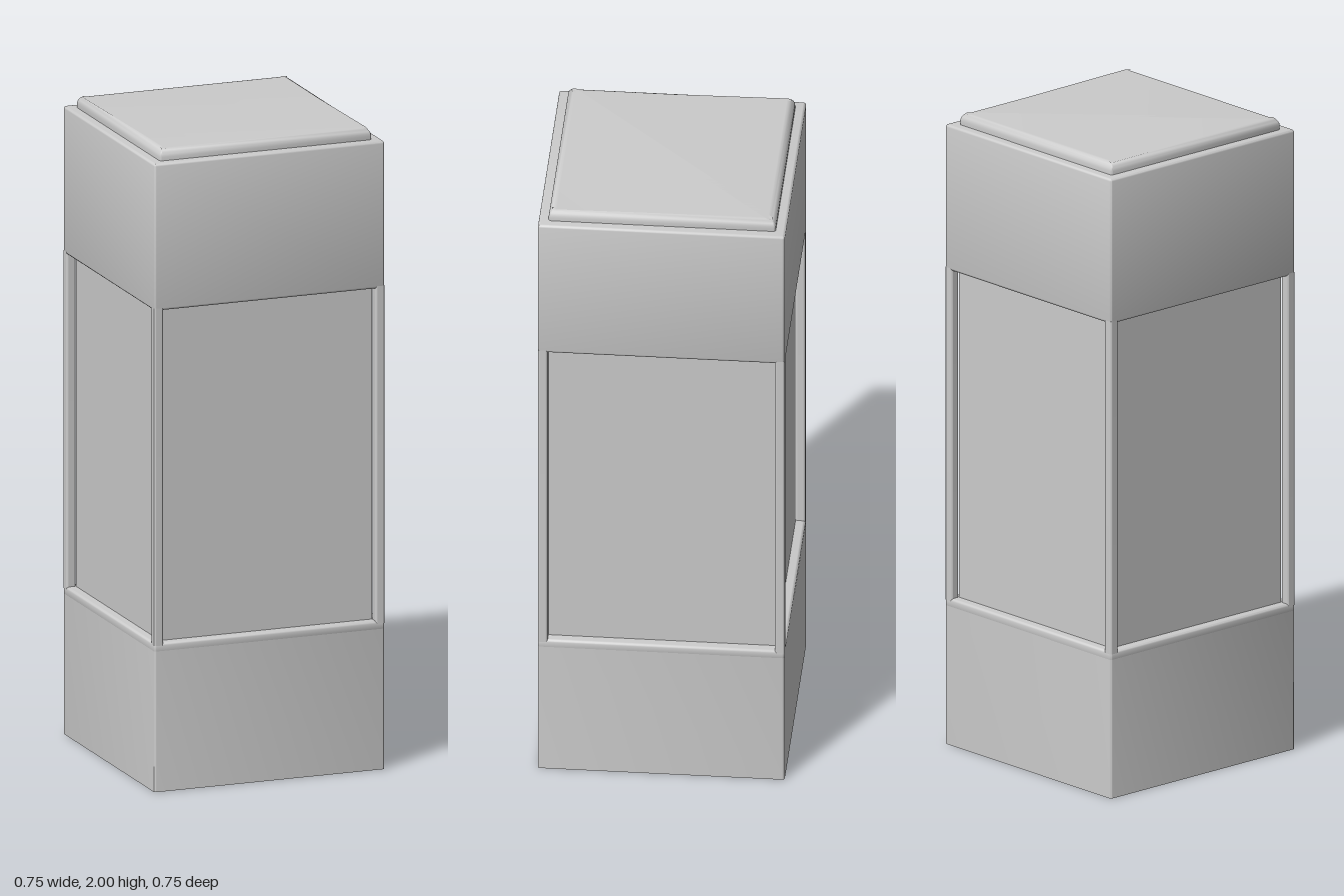
import * as THREE from 'three';
import { toCreasedNormals } from 'three/addons/utils/BufferGeometryUtils.js';

const HALF = 0.375;   // outer half width
const INNER = 0.345;  // half width of the recessed panels and lid
const EDGE = 0.008;   // small edge rounding

// Square outline with softly rounded corners
function roundedSquare(h, r) {
  const s = new THREE.Shape();
  s.moveTo(h - r, -h);
  s.absarc(h - r, -h + r, r, -Math.PI / 2, 0);
  s.absarc(h - r, h - r, r, 0, Math.PI / 2);
  s.absarc(-h + r, h - r, r, Math.PI / 2, Math.PI);
  s.absarc(-h + r, -h + r, r, Math.PI, Math.PI * 1.5);
  s.closePath();
  return s;
}

// Vertical extrusion from y0 to y1, bevel included in its size
function extrude(shape, y0, y1, bevel = 0, segments = 3) {
  const geo = new THREE.ExtrudeGeometry(shape, {
    depth: y1 - y0 - 2 * bevel, curveSegments: 4,
    bevelEnabled: bevel > 0, bevelSize: bevel, bevelOffset: -bevel,
    bevelThickness: bevel, bevelSegments: segments,
  });
  geo.rotateX(-Math.PI / 2).translate(0, y0 + bevel, 0);
  return toCreasedNormals(geo, 0.7);
}

export function createModel() {
  const group = new THREE.Group();
  const body = new THREE.MeshStandardMaterial({ color: 0xcccccc });
  const pane = new THREE.MeshStandardMaterial({ color: 0xf0f0f0 });
  const add = (name, geo, mat = body) => {
    const mesh = new THREE.Mesh(geo, mat);
    mesh.name = name;
    group.add(mesh);
    return mesh;
  };

  // Hollow base, open below, with square posts in its inner corners
  const walls = roundedSquare(HALF, EDGE);
  const w = 0.369;
  const quarter = [[w, -INNER], [w, INNER], [INNER, INNER]];
  const hole = [];
  for (let i = 0; i < 4; i++) {
    for (const [x, y] of quarter) {
      const p = new THREE.Vector2(x, y);
      hole.push(p.rotateAround(new THREE.Vector2(), i * Math.PI / 2));
    }
  }
  walls.holes.push(new THREE.Path(hole.reverse()));
  add('baseWalls', extrude(walls, 0, 0.44));
  add('baseLedge', extrude(roundedSquare(HALF, EDGE), 0.432, 0.465, EDGE));

  // Corner posts framing the panels
  const size = HALF - INNER;
  for (const sx of [-1, 1]) {
    for (const sz of [-1, 1]) {
      const post = add('cornerPost', extrude(roundedSquare(size / 2, 0.006), 0.457, 1.513));
      post.position.set(sx * (HALF - size / 2), 0, sz * (HALF - size / 2));
    }
  }

  // Recessed panels on all four sides
  for (let i = 0; i < 4; i++) {
    const geo = new THREE.BoxGeometry(2 * INNER, 1.05, 0.01);
    geo.translate(0, 0.985, INNER - 0.005);
    add('sidePanel', geo, pane).rotation.y = i * Math.PI / 2;
  }

  // Upper block and the bevelled lid
  add('upperBlock', extrude(roundedSquare(HALF, EDGE), 1.505, 1.965, EDGE));
  add('lid', extrude(roundedSquare(INNER, 0.01), 1.93, 2, 0.024, 5));

  return group;
}
